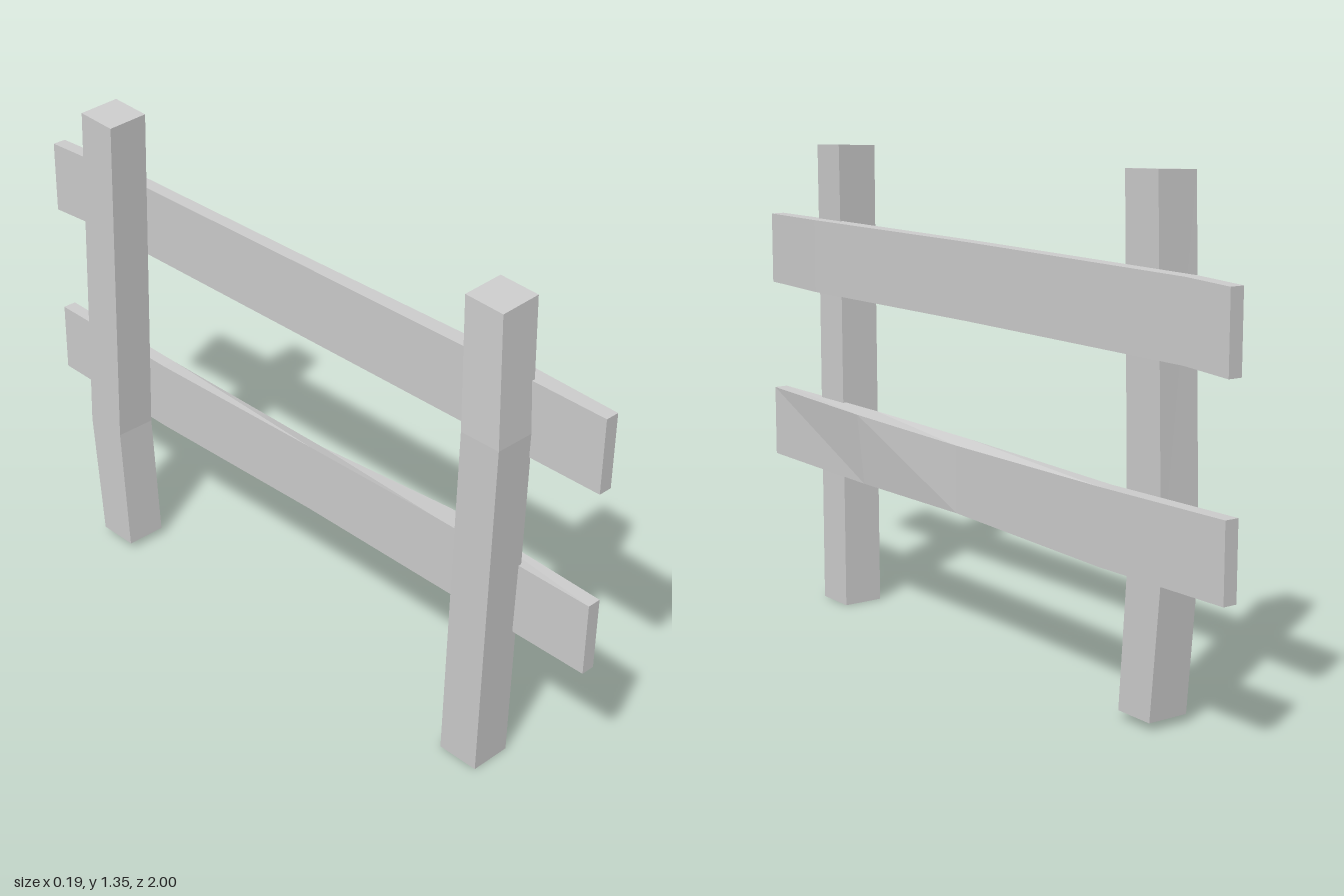
import * as THREE from 'three';

const material = new THREE.MeshStandardMaterial({ color: 0xcccccc, flatShading: true });

// Joins four-cornered cross-sections into a closed beam with flat faces
function beam(name, rings) {
  const pos = [];
  const quad = (a, b, c, d) => pos.push(...a, ...b, ...c, ...a, ...c, ...d);
  for (let k = 0; k < rings.length - 1; k++) {
    for (let i = 0; i < 4; i++) {
      const j = (i + 1) % 4;
      quad(rings[k][i], rings[k][j], rings[k + 1][j], rings[k + 1][i]);
    }
  }
  const [a, b, c, d] = rings[0];
  quad(d, c, b, a);
  quad(...rings[rings.length - 1]);
  const geometry = new THREE.BufferGeometry();
  geometry.setAttribute('position', new THREE.Float32BufferAttribute(pos, 3));
  geometry.computeVertexNormals();
  const mesh = new THREE.Mesh(geometry, material);
  mesh.name = name;
  return mesh;
}

// Post section: height, x range, z range, and how much the cut tilts in x and z
const postRing = ([y, x0, x1, z0, z1, tx = 0, tz = 0]) => [
  [x0, y - tx + tz, z1], [x1, y + tx + tz, z1],
  [x1, y + tx - tz, z0], [x0, y - tx - tz, z0],
];

// Rail section: z, inner x, outer x at bottom and top, bottom y, top y inside and outside
const railRing = ([z, xi, xb, xt, yb, yi, yo = yi]) => [
  [xi, yb, z], [xb, yb, z], [xt, yo, z], [xi, yi, z],
];

export function createModel() {
  const group = new THREE.Group();
  group.name = 'fence';

  // Upright posts, each with a slight bend
  group.add(beam('frontPost', [
    [0, -0.067, 0.05, 0.645, 0.765],
    [0.98, -0.08, 0.036, 0.67, 0.788],
    [1.331, -0.067, 0.051, 0.65, 0.765, 0.003, -0.003],
  ].map(postRing)));
  group.add(beam('backPost', [
    [0.022, -0.095, 0.022, -0.693, -0.575],
    [0.39, -0.098, 0.018, -0.723, -0.597],
    [1.348, -0.095, 0.022, -0.695, -0.575, 0.003, -0.003],
  ].map(postRing)));

  // Long rails, slightly warped along their length
  group.add(beam('upperRail', [
    [-1, 0.031, 0.07, 0.07, 0.915, 1.12],
    [-0.85, 0.031, 0.071, 0.071, 0.924, 1.126],
    [0, 0.031, 0.07, 0.07, 0.92, 1.125],
    [0.74, 0.033, 0.081, 0.081, 0.914, 1.12],
    [1, 0.031, 0.07, 0.07, 0.915, 1.117],
  ].map(railRing)));
  group.add(beam('lowerRail', [
    [-1, 0.031, 0.07, 0.07, 0.395, 0.596],
    [-0.55, 0.031, 0.07, 0.07, 0.388, 0.587],
    [0.05, 0.031, 0.07, 0.07, 0.4, 0.597, 0.583],
    [0.5, 0.033, 0.074, 0.095, 0.395, 0.6, 0.596],
    [1, 0.031, 0.07, 0.07, 0.395, 0.597],
  ].map(railRing)));

  return group;
}
